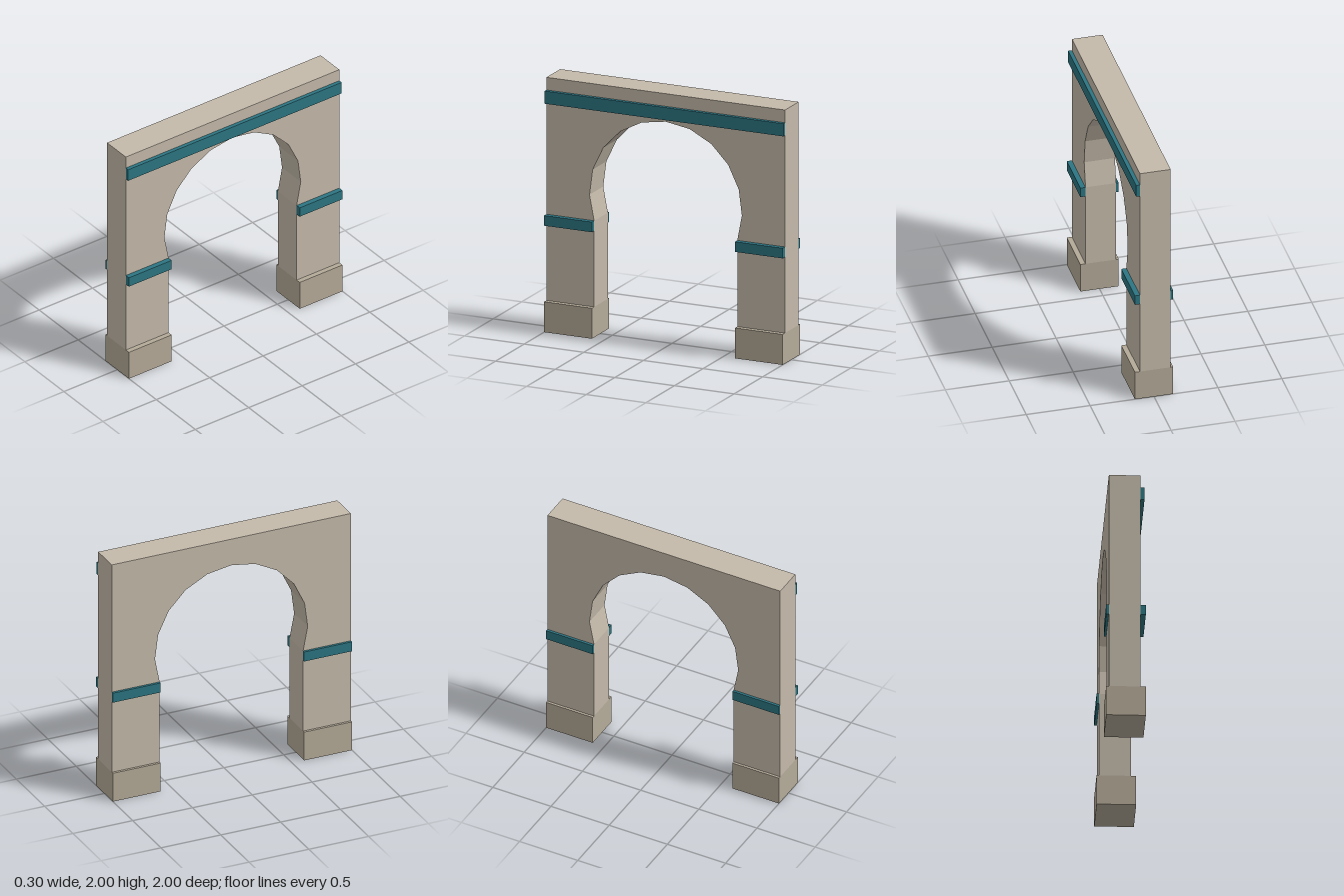
import * as THREE from 'three';

const stone = new THREE.MeshStandardMaterial({ color: 0xc4baaa, flatShading: true });
const plinthStone = new THREE.MeshStandardMaterial({ color: 0xb4aa98, flatShading: true });
const teal = new THREE.MeshStandardMaterial({ color: 0x2c7582, flatShading: true });

// Box given by its minimum and maximum corners
function box(name, material, [x0, y0, z0], [x1, y1, z1]) {
  const mesh = new THREE.Mesh(new THREE.BoxGeometry(x1 - x0, y1 - y0, z1 - z0), material);
  mesh.position.set((x0 + x1) / 2, (y0 + y1) / 2, (z0 + z1) / 2);
  mesh.name = name;
  return mesh;
}

export function createModel() {
  const group = new THREE.Group();
  group.name = 'horseshoeArch';

  const back = -0.13, face = 0.11;       // wall faces in x
  const inner = 0.6, outer = 1;          // pier extent in z
  const plinthTop = 0.24, spring = 0.92; // heights

  // Wall outline with a faceted horseshoe opening
  const centreY = 1.14, radius = Math.hypot(inner, centreY - spring);
  const start = Math.atan2(spring - centreY, inner);
  const segments = 12;
  const outline = [[-outer, plinthTop], [-inner, plinthTop]];
  for (let i = segments; i >= 0; i--) {
    const a = start + (Math.PI - 2 * start) * i / segments;
    outline.push([radius * Math.cos(a), centreY + radius * Math.sin(a)]);
  }
  outline.push([inner, plinthTop], [outer, plinthTop], [outer, 2], [-outer, 2]);
  const shape = new THREE.Shape(outline.map(([z, y]) => new THREE.Vector2(z, y)));
  const geometry = new THREE.ExtrudeGeometry(shape, { depth: face - back, bevelEnabled: false });
  geometry.rotateY(-Math.PI / 2).translate(face, 0, 0);
  const wall = new THREE.Mesh(geometry, stone);
  wall.name = 'archWall';
  group.add(wall);

  // Plinths and impost bands on both piers
  for (const [side, z0, z1] of [['front', inner, outer], ['back', -outer, -inner]]) {
    group.add(
      box(side + 'Plinth', plinthStone, [-0.15, 0, z0], [0.15, plinthTop, z1]),
      box(side + 'ImpostLeft', teal, [face, 0.84, z0], [0.15, spring, z1]),
      box(side + 'ImpostRight', teal, [-0.15, 0.84, z0], [back, spring, z1])
    );
  }

  // Long band above the arch, on one face only
  group.add(box('friezeBand', teal, [face, 1.8, -outer], [0.14, 1.9, outer]));
  return group;
}
